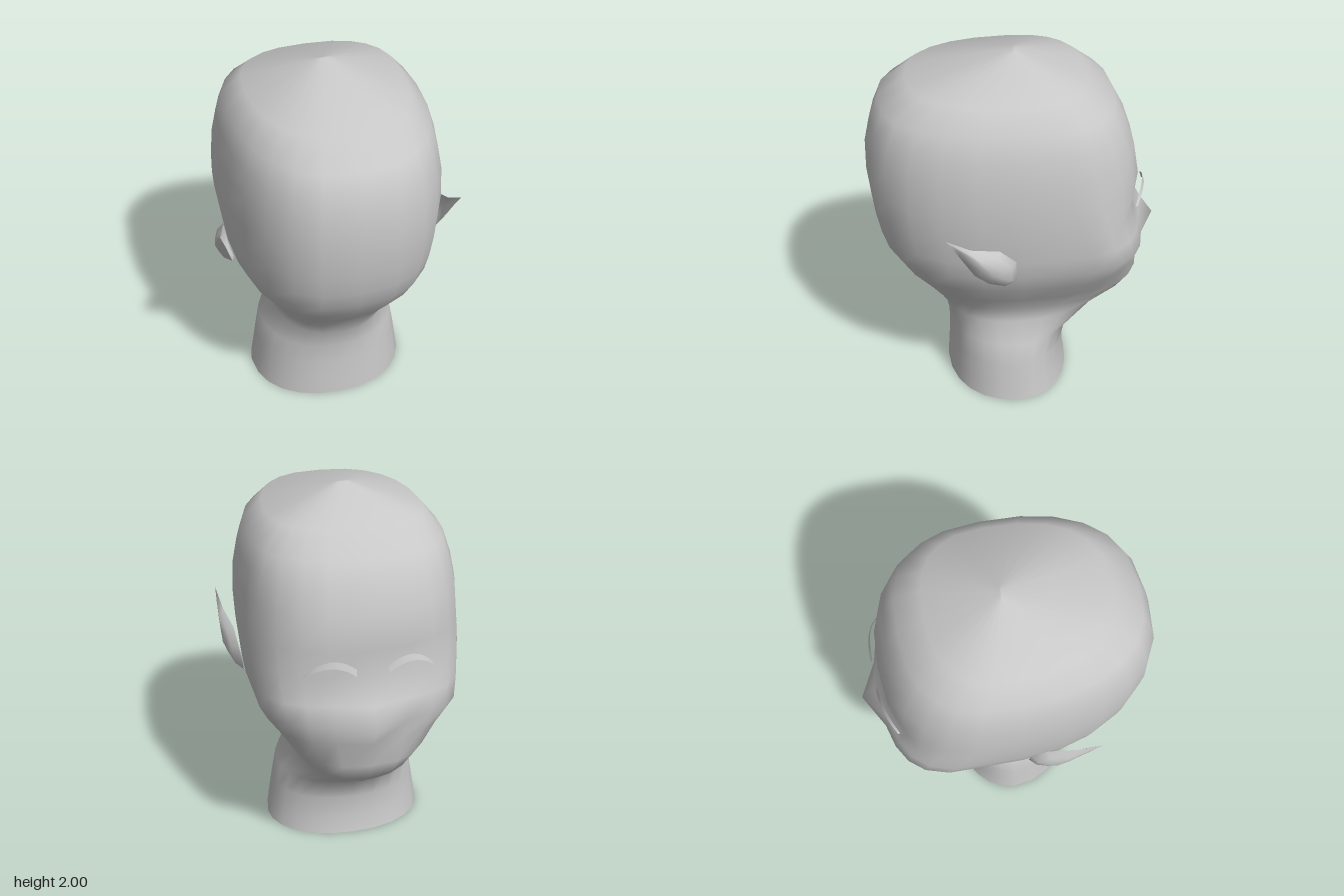
import * as THREE from 'three';

const skin = new THREE.MeshStandardMaterial({ color: 0xc8c8c8, side: THREE.DoubleSide });
skin.name = 'plain grey';

function surface(name, positions, index) {
  const geometry = new THREE.BufferGeometry();
  geometry.setAttribute('position', new THREE.Float32BufferAttribute(positions, 3));
  geometry.setIndex(index);
  geometry.computeVertexNormals();
  const mesh = new THREE.Mesh(geometry, skin);
  mesh.name = name;
  return mesh;
}

// Rounded power curve used to square off the cross-sections
const soft = (v, p) => Math.sign(v) * Math.pow(Math.abs(v), p);

// Head and neck: [height, half width, back depth, face depth, face roundness, nose]
const RINGS = [
  [0, 0.445, 0.39, 0.305, 1, 0], [0.1, 0.43, 0.385, 0.285, 1, 0],
  [0.23, 0.41, 0.375, 0.283, 1, 0], [0.36, 0.385, 0.375, 0.315, 1, 0],
  [0.48, 0.32, 0.4, 0.5, 1, 0], [0.59, 0.345, 0.455, 0.635, 0.9, 0],
  [0.7, 0.41, 0.535, 0.69, 0.75, 0], [0.83, 0.49, 0.64, 0.665, 0.55, 0.035],
  [0.95, 0.54, 0.71, 0.695, 0.42, 0.09], [1.06, 0.557, 0.745, 0.67, 0.45, 0.04],
  [1.19, 0.57, 0.77, 0.625, 0.5, 0], [1.35, 0.578, 0.785, 0.655, 0.72, 0],
  [1.52, 0.568, 0.78, 0.625, 0.75, 0], [1.65, 0.543, 0.75, 0.58, 0.75, 0],
  [1.77, 0.505, 0.7, 0.515, 0.75, 0], [1.88, 0.41, 0.555, 0.375, 0.75, 0],
  [2, 0.03, 0.005, 0.005, 1, 0],
];

function makeHead() {
  const N = 24, pos = [], idx = [];
  for (const [y, w, back, face, round, nose] of RINGS) {
    for (let i = 0; i < N; i++) {
      const a = (i / N) * Math.PI * 2;
      const s = Math.sin(a), c = Math.cos(a);
      const x = w * soft(s, y < 0.5 ? 0.92 : 0.77);
      let z = c > 0 ? back * soft(c, 0.9) : face * soft(c, round);
      if (i === N / 2) z -= nose;
      pos.push(x, y, z);
    }
  }
  for (let j = 0; j < RINGS.length - 1; j++) {
    for (let i = 0; i < N; i++) {
      const a = j * N + i, b = j * N + ((i + 1) % N);
      idx.push(a, b, b + N, a, b + N, a + N);
    }
  }
  // close the crown
  const top = (RINGS.length - 1) * N;
  for (let i = 1; i < N - 1; i++) idx.push(top, top + i, top + i + 1);
  return surface('head', pos, idx);
}

// Pointed ear: a cupped shell, open towards the back of the head
const EAR = [
  [0.64, 1.29, 0.4], [0.615, 1.21, 0.28], [0.58, 1.165, 0.13], [0.565, 1.08, 0.045],
  [0.545, 0.95, 0.04], [0.53, 0.905, 0.1], [0.55, 0.945, 0.19], [0.565, 1.01, 0.26],
  [0.6, 1.15, 0.33],
];

function makeEar(side) {
  const n = EAR.length, pos = [], idx = [];
  const mid = [0.632, 1.06, 0.17];
  for (const [t, bulge] of [[0, 0], [0.25, 0.022], [0.6, 0.018]]) {
    for (const p of EAR) {
      const q = p.map((v, k) => v + (mid[k] - v) * t);
      pos.push(side * Math.min(0.642, q[0] + bulge), q[1], q[2]);
    }
  }
  pos.push(side * 0.638, mid[1], mid[2]);
  const tri = (a, b, c) => (side > 0 ? idx.push(a, b, c) : idx.push(a, c, b));
  for (let i = 0; i < n; i++) {
    const k = (i + 1) % n;
    for (let r = 0; r < 2; r++) {
      const a = r * n + i, b = r * n + k;
      tri(a, b + n, b);
      tri(a, a + n, b + n);
    }
    tri(2 * n + i, 3 * n, 2 * n + k);
  }
  // keep the convex side facing outwards
  for (let i = 0; i < idx.length; i += 3) [idx[i + 1], idx[i + 2]] = [idx[i + 2], idx[i + 1]];
  const a = [0, 1, 2].map((k) => new THREE.Vector3().fromArray(pos, idx[k] * 3));
  const nx = a[1].clone().sub(a[0]).cross(a[2].clone().sub(a[0])).x;
  if (nx * side < 0) idx.reverse();
  return surface(side > 0 ? 'leftEar' : 'rightEar', pos, idx);
}

// Eyebrow: a thin arched ribbon tapering outwards
function makeBrow(side) {
  const curve = new THREE.CatmullRomCurve3([
    [0.08, 1.25, -0.69], [0.14, 1.288, -0.686], [0.21, 1.298, -0.674],
    [0.28, 1.27, -0.65], [0.335, 1.22, -0.62],
  ].map((p) => new THREE.Vector3(...p)));
  const pos = [], idx = [], n = 10;
  for (let i = 0; i <= n; i++) {
    const p = curve.getPoint(i / n), h = 0.018 * (1 - (i / n) ** 3);
    pos.push(side * p.x, p.y - h, p.z, side * p.x, p.y + h, p.z + 0.012);
    if (i < n) {
      const a = i * 2;
      if (side > 0) idx.push(a, a + 1, a + 2, a + 1, a + 3, a + 2);
      else idx.push(a, a + 2, a + 1, a + 1, a + 2, a + 3);
    }
  }
  return surface(side > 0 ? 'leftEyebrow' : 'rightEyebrow', pos, idx);
}

export function createModel() {
  const model = new THREE.Group();
  model.name = 'headBust';
  model.add(makeHead());
  for (const side of [1, -1]) model.add(makeEar(side), makeBrow(side));
  return model;
}
